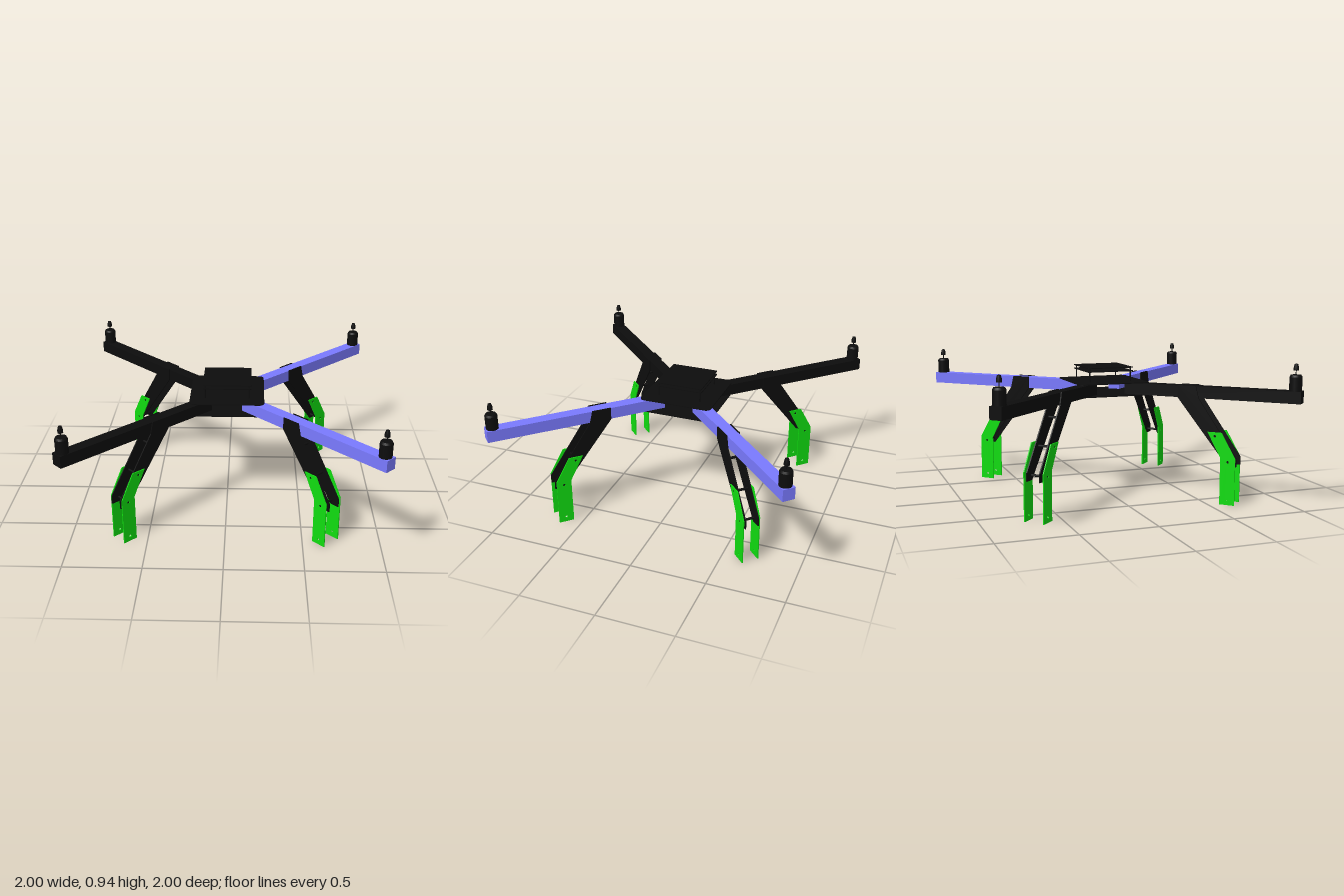
import * as THREE from 'three';

const black = new THREE.MeshStandardMaterial({ color: 0x0d0d0d });
const violet = new THREE.MeshStandardMaterial({ color: 0x7a7aff });
const green = new THREE.MeshStandardMaterial({ color: 0x10dd10 });

function add(parent, name, geometry, material, x = 0, y = 0, z = 0) {
  const mesh = new THREE.Mesh(geometry, material);
  mesh.name = name;
  mesh.position.set(x, y, z);
  parent.add(mesh);
  return mesh;
}

// Flat sheet of the given outline, centred on its thickness
function sheet(shape, thickness) {
  return new THREE.ExtrudeGeometry(shape, { depth: thickness, bevelEnabled: false, curveSegments: 8 })
    .translate(0, 0, -thickness / 2);
}

function outline(points, holes = [], radius = 0.008) {
  const shape = new THREE.Shape(points.map(([x, y]) => new THREE.Vector2(x, y)));
  for (const [x, y] of holes) {
    shape.holes.push(new THREE.Path().absarc(x, y, radius, 0, Math.PI * 2, true));
  }
  return shape;
}

// Horizontal square plate with rounded corners
function squarePlate(half, r, thickness) {
  const s = new THREE.Shape();
  const c = half - r;
  s.absarc(c, c, r, 0, Math.PI / 2);
  s.absarc(-c, c, r, Math.PI / 2, Math.PI);
  s.absarc(-c, -c, r, Math.PI, Math.PI * 1.5);
  s.absarc(c, -c, r, Math.PI * 1.5, Math.PI * 2);
  return sheet(s, thickness).rotateX(-Math.PI / 2);
}

// Cross rod running between the two side plates of a leg
function rod(length, r) {
  return new THREE.CylinderGeometry(r, r, length, 10).rotateX(Math.PI / 2);
}

const strutPlate = sheet(outline([
  [0.565, 0.77], [0.565, 0.69], [0.915, 0.255], [0.975, 0.255], [0.975, 0.31], [0.71, 0.69], [0.69, 0.77],
]), 0.008);

const footPlate = sheet(outline([
  [0.87, 0], [0.97, 0], [0.97, 0.31], [0.875, 0.475], [0.78, 0.475], [0.87, 0.31],
], [[0.92, 0.035], [0.83, 0.45], [0.92, 0.285]]), 0.007);

const motorBody = new THREE.LatheGeometry([
  [0, 0.765], [0.04, 0.765], [0.04, 0.765], [0.04, 0.855], [0.04, 0.855], [0.033, 0.868], [0.033, 0.868], [0, 0.868],
].map(([x, y]) => new THREE.Vector2(x, y)), 20);

const motorCap = new THREE.LatheGeometry([
  [0, 0.895], [0.017, 0.895], [0.017, 0.895], [0.017, 0.912], [0.011, 0.935], [0.011, 0.935], [0, 0.938],
].map(([x, y]) => new THREE.Vector2(x, y)), 16);

// One arm with motor and leg, built along +x and then turned to its diagonal
function makeArm(sx, sz) {
  const arm = new THREE.Group();
  arm.name = 'arm' + (sz > 0 ? 'Front' : 'Back') + (sx > 0 ? 'Left' : 'Right');
  const inner = 0.18, outer = 1.374;
  add(arm, 'armBeam', new THREE.BoxGeometry(outer - inner, 0.077, 0.08),
    sx > 0 ? violet : black, (inner + outer) / 2, 0.7275, 0);

  // motor
  add(arm, 'motorBody', motorBody, black, 1.33);
  add(arm, 'motorShaft', new THREE.CylinderGeometry(0.003, 0.003, 0.04, 8), black, 1.33, 0.88, 0);
  add(arm, 'motorCap', motorCap, black, 1.33);

  // leg side plates, spaced wider on one diagonal
  const spread = sx * sz > 0 ? 0.067 : 0.055;
  for (const s of [-1, 1]) {
    add(arm, 'legStrut', strutPlate, black, 0, 0, s * 0.044);
    add(arm, 'legFoot', footPlate, green, 0, 0, s * spread);
  }

  // rungs between the plates
  add(arm, 'legRung', rod(0.088, 0.008), black, 0.7, 0.61, 0);
  add(arm, 'legRung', rod(spread * 2, 0.008), black, 0.83, 0.45, 0);
  add(arm, 'legRung', rod(spread * 2, 0.008), black, 0.92, 0.285, 0);

  arm.rotation.y = -Math.atan2(sz, sx);
  return arm;
}

export function createModel() {
  const model = new THREE.Group();
  model.name = 'quadcopter';

  // main body plates
  const mainPlate = squarePlate(0.247, 0.035, 0.006);
  add(model, 'bottomPlate', mainPlate, black, 0, 0.687, 0);
  add(model, 'topPlate', mainPlate, black, 0, 0.77, 0);

  // raised double deck on four posts
  const deckPlate = squarePlate(0.16, 0.008, 0.006);
  add(model, 'lowerDeck', deckPlate, black, 0, 0.844, 0);
  add(model, 'upperDeck', deckPlate, black, 0, 0.868, 0);

  for (const sx of [-1, 1]) {
    for (const sz of [-1, 1]) {
      add(model, 'deckPost', new THREE.CylinderGeometry(0.004, 0.004, 0.1, 8), black, sx * 0.145, 0.82, sz * 0.145);
      model.add(makeArm(sx, sz));
    }
  }
  return model;
}
